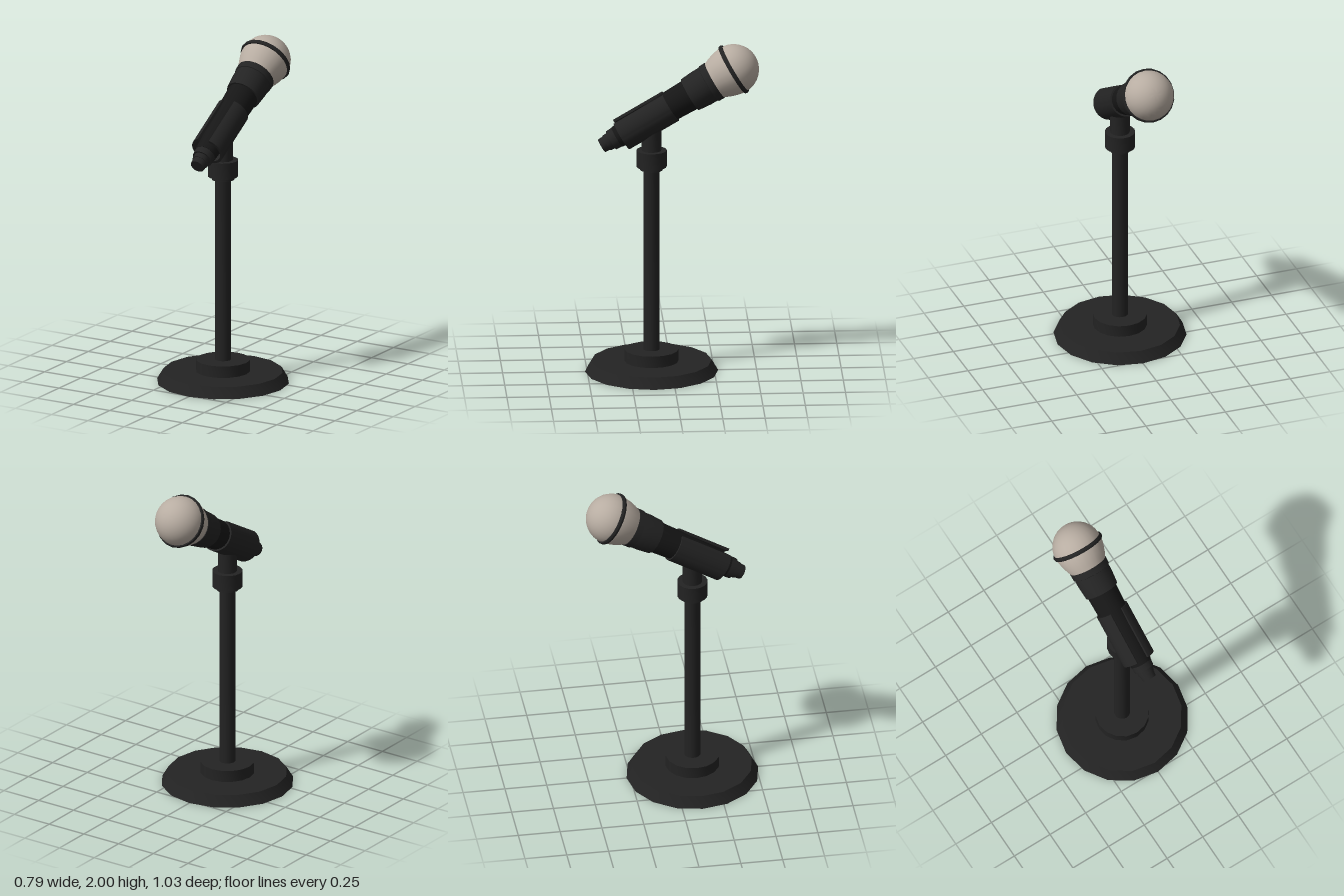
import * as THREE from 'three';
import { toCreasedNormals } from 'three/addons/utils/BufferGeometryUtils.js';

const material = (name, color) => new THREE.MeshStandardMaterial({ name, color, side: THREE.DoubleSide });

export function createModel() {
  const black = material('satin black', 0x232323);
  const deepBlack = material('handle black', 0x161616);
  const grilleGrey = material('warm grille grey', 0xb8ada2);

  const model = new THREE.Group();
  model.name = 'microphoneOnStand';

  // Turned part from [radius, height] pairs listed bottom to top
  const turned = (parent, name, profile, mat, sides = 16) => {
    const points = profile.map(([r, y]) => new THREE.Vector2(r, y));
    const geometry = toCreasedNormals(new THREE.LatheGeometry(points, sides), 0.6);
    const mesh = new THREE.Mesh(geometry, mat);
    mesh.name = name;
    parent.add(mesh);
    return mesh;
  };

  // Stand: hollow foot, pole, height clutch and neck
  const stand = new THREE.Group();
  stand.name = 'stand';
  stand.position.z = 0.12;
  model.add(stand);
  turned(stand, 'base', [[0.393, 0], [0.355, 0.064], [0.16, 0.064], [0.16, 0.134], [0.048, 0.134]], black);
  turned(stand, 'pole', [[0.048, 0.134], [0.048, 1.25]], black);
  turned(stand, 'clutch', [[0.048, 1.24], [0.067, 1.24], [0.067, 1.26], [0.09, 1.26], [0.09, 1.36], [0, 1.36]], black);
  turned(stand, 'neck', [[0.058, 1.36], [0.058, 1.5], [0, 1.5]], black);

  // Microphone: local +y runs along its axis to the head, origin at the ball centre
  const mic = new THREE.Group();
  mic.name = 'microphone';
  mic.position.set(0, 1.85, -0.365);
  mic.rotation.x = THREE.MathUtils.degToRad(-59.5);
  model.add(mic);

  // Grille: tapered lower bowl and round dome
  const grille = [[0.112, -0.135], [0.128, -0.1], [0.141, -0.06], [0.148, -0.025]];
  for (let i = 0; i <= 10; i++) {
    const a = (i / 10) * Math.PI / 2;
    grille.push([0.15 * Math.cos(a), 0.15 * Math.sin(a)]);
  }
  turned(mic, 'grille', grille, grilleGrey, 24);
  turned(mic, 'grilleBand', [[0.147, -0.013], [0.157, -0.012], [0.161, 0], [0.157, 0.012], [0.147, 0.013]], black, 20);

  // Body: collar, shoulder and tapering handle
  turned(mic, 'collar', [[0.105, -0.175], [0.118, -0.17], [0.119, -0.13], [0.1, -0.128]], black, 20);
  turned(mic, 'shoulder', [[0.09, -0.3], [0.105, -0.3], [0.112, -0.22], [0.112, -0.17], [0.1, -0.165]], black, 20);
  turned(mic, 'handle', [[0, -0.8], [0.066, -0.8], [0.09, -0.44], [0.095, -0.29]], deepBlack, 20);

  // Tail: ribbed cable plug
  turned(mic, 'cablePlug', [
    [0, -0.905], [0.043, -0.905], [0.046, -0.87], [0.05, -0.87], [0.052, -0.84],
    [0.062, -0.84], [0.065, -0.78],
  ], black);

  // Clip: C-shaped sleeve open along the top
  const outer = 0.1, inner = 0.084, gap = 0.4;
  const from = -Math.PI / 2 + gap, to = Math.PI * 1.5 - gap;
  const section = new THREE.Shape();
  section.absarc(0, 0, outer, from, to, false);
  section.absarc(0, 0, inner, to, from, true);
  section.closePath();
  const sleeve = new THREE.ExtrudeGeometry(section, { depth: 0.338, bevelEnabled: false, curveSegments: 20 });
  sleeve.rotateX(-Math.PI / 2);
  sleeve.translate(0, -0.772, 0);
  const clip = new THREE.Mesh(toCreasedNormals(sleeve, 0.6), black);
  clip.name = 'clip';
  mic.add(clip);

  return model;
}
